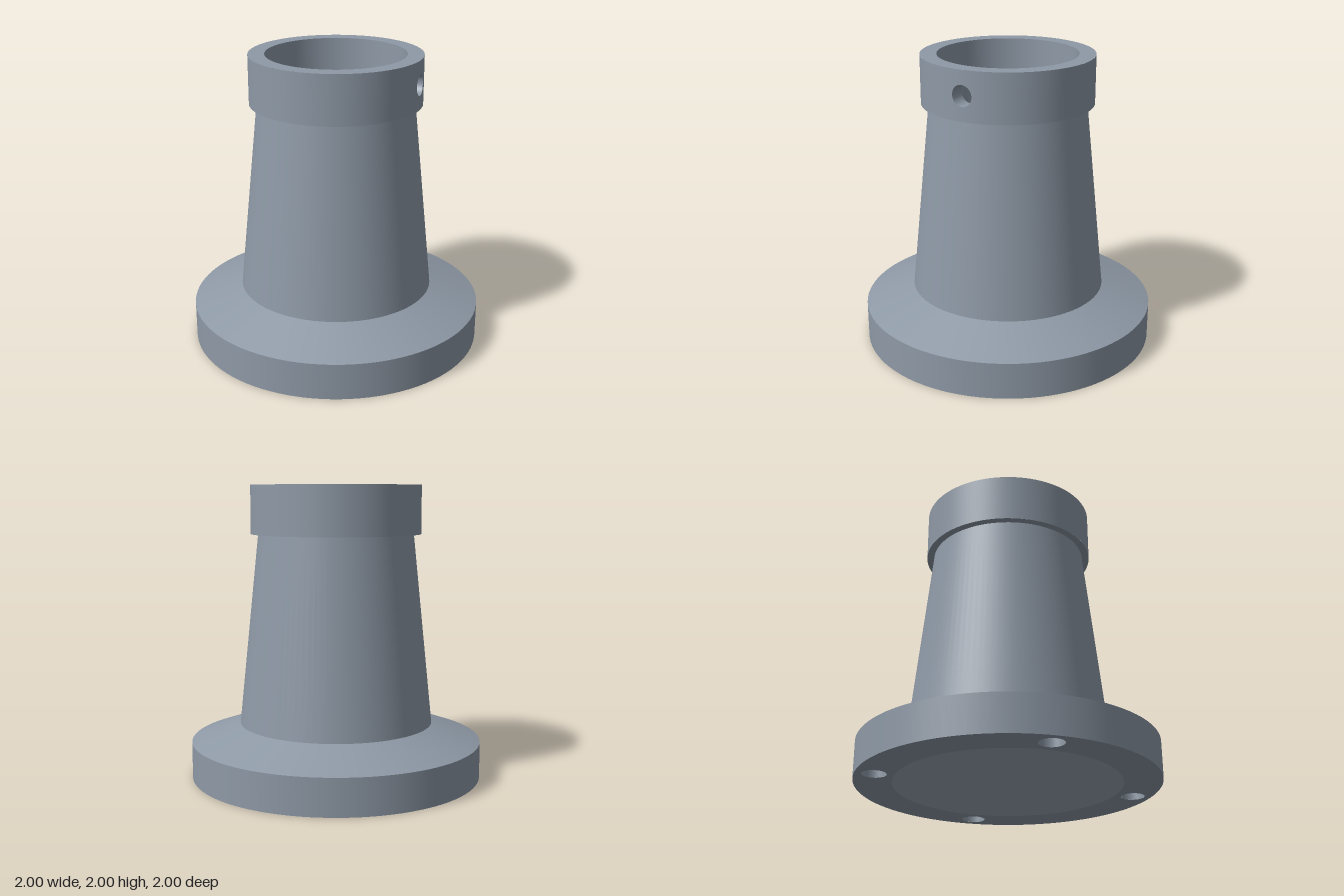
import * as THREE from 'three';

const SEG = 96;
const COLLAR_R = 0.58, BORE_R = 0.47, COLLAR_BOTTOM = 1.67, TOP = 2;
const PIN_Y = (COLLAR_BOTTOM + TOP) / 2, PIN_R = 0.07, PATCH = (TOP - COLLAR_BOTTOM) / 2;
const THROAT_R = 0.32, LEDGE_Y = 0.8, BOLT_R = 0.08, BOLT_DEPTH = 0.17;

export function createModel() {
  const model = new THREE.Group();
  const steel = new THREE.MeshStandardMaterial({ color: 0x8e99a6 });
  steel.name = 'steelGrey';

  const add = (name, geometry, parent = model) => {
    const mesh = new THREE.Mesh(geometry, steel);
    mesh.name = name;
    parent.add(mesh);
    return mesh;
  };

  // One straight profile segment spun round y; upward segments face outward
  const band = (r0, y0, r1, y1, start = 0, length = Math.PI * 2, seg = SEG) =>
    new THREE.LatheGeometry([new THREE.Vector2(r0, y0), new THREE.Vector2(r1, y1)], seg, start, length);

  // Outside of flange and tapered body, then the bore from the top down
  add('flangeRim', band(1, 0, 1, 0.25));
  add('flangeSlope', band(1, 0.25, 0.665, 0.37));
  add('taperedBody', band(0.665, 0.37, 0.53, COLLAR_BOTTOM));
  add('collarUnderside', band(0.53, COLLAR_BOTTOM, COLLAR_R, COLLAR_BOTTOM));
  add('collarTop', band(COLLAR_R, TOP, BORE_R, TOP));
  add('socketBore', band(BORE_R, COLLAR_BOTTOM, BORE_R, LEDGE_Y));
  add('socketLedge', band(BORE_R, LEDGE_Y, THROAT_R, LEDGE_Y));
  add('throat', band(THROAT_R, LEDGE_Y, THROAT_R, 0.51));
  add('baseCone', band(THROAT_R, 0.51, 0.75, 0));

  // Collar walls, left open around the pin hole on +x
  const collarWall = (name, r, outward) => {
    const gap = Math.asin(PATCH / r);
    const [y0, y1] = outward ? [COLLAR_BOTTOM, TOP] : [TOP, COLLAR_BOTTOM];
    add(name, band(r, y0, r, y1, Math.PI / 2 + gap, Math.PI * 2 - gap * 2));
    add(name + 'HolePatch', holePatch(r, outward));
  };
  collarWall('collarOuterWall', COLLAR_R, true);
  collarWall('collarInnerWall', BORE_R, false);
  add('pinHole', pinTunnel());

  // Flange underside with four bolt holes on the diagonals
  const ring = new THREE.Shape().absarc(0, 0, 1, 0, Math.PI * 2, false);
  ring.holes.push(new THREE.Path().absarc(0, 0, 0.75, 0, Math.PI * 2, true));
  for (let i = 0; i < 4; i++) {
    const a = Math.PI / 4 + (i * Math.PI) / 2;
    const x = 0.875 * Math.cos(a), z = 0.875 * Math.sin(a);
    ring.holes.push(new THREE.Path().absarc(x, z, BOLT_R, 0, Math.PI * 2, true));
    const hole = new THREE.Group();
    hole.name = 'boltHole' + (i + 1);
    hole.position.set(x, 0, z);
    add('boltHoleWall', band(BOLT_R, BOLT_DEPTH, BOLT_R, 0, 0, Math.PI * 2, 32), hole);
    add('boltHoleEnd', band(0, BOLT_DEPTH, BOLT_R, BOLT_DEPTH, 0, Math.PI * 2, 32), hole);
    model.add(hole);
  }
  add('flangeUnderside', new THREE.ShapeGeometry(ring, SEG / 2).rotateX(Math.PI / 2));

  return model;
}

// Grid surface from rows x columns; point(i, j) returns [position, normal]
function gridSurface(rows, cols, point, flip) {
  const positions = [], normals = [], index = [];
  for (let i = 0; i <= rows; i++) {
    for (let j = 0; j <= cols; j++) {
      const [p, n] = point(i / rows, j / cols);
      positions.push(...p);
      normals.push(...n);
      if (i < rows && j < cols) {
        const a = i * (cols + 1) + j, b = a + 1, c = a + cols + 1, d = c + 1;
        index.push(...(flip ? [a, b, c, b, d, c] : [a, c, b, b, c, d]));
      }
    }
  }
  const g = new THREE.BufferGeometry();
  g.setAttribute('position', new THREE.Float32BufferAttribute(positions, 3));
  g.setAttribute('normal', new THREE.Float32BufferAttribute(normals, 3));
  g.setIndex(index);
  return g;
}

// Curved square with a round hole, wrapped on a cylinder of radius r
function holePatch(r, outward) {
  const s = outward ? 1 : -1;
  return gridSurface(6, 64, (u, v) => {
    const t = v * Math.PI * 2, c = Math.cos(t), k = Math.sin(t);
    const edge = PATCH / Math.max(Math.abs(c), Math.abs(k));
    const d = THREE.MathUtils.lerp(PIN_R, edge, u);
    const z = -d * c, x = Math.sqrt(r * r - z * z);
    return [[x, PIN_Y + d * k, z], [(s * x) / r, 0, (s * z) / r]];
  }, !outward);
}

// Inside of the pin hole, from the bore to the collar face
function pinTunnel() {
  return gridSurface(1, 64, (u, v) => {
    const t = v * Math.PI * 2, c = Math.cos(t), k = Math.sin(t);
    const z = -PIN_R * c, r = u ? COLLAR_R : BORE_R;
    return [[Math.sqrt(r * r - z * z), PIN_Y + PIN_R * k, z], [0, -k, c]];
  }, false);
}
